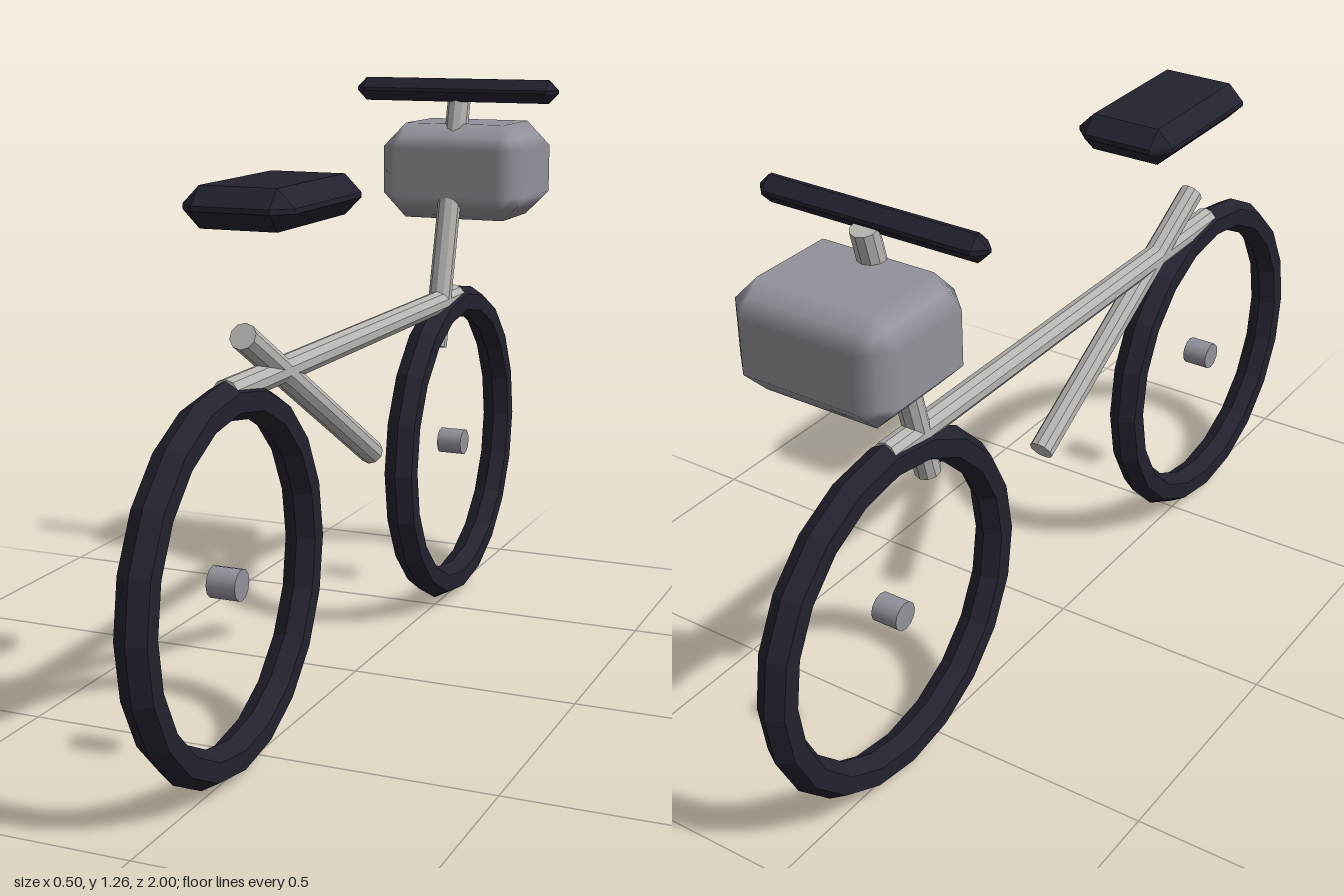
import * as THREE from 'three';

const rubber = new THREE.MeshStandardMaterial({ color: 0x22222e, flatShading: true });
rubber.name = 'dark rubber';
const steel = new THREE.MeshStandardMaterial({ color: 0xb6b5b2, flatShading: true });
steel.name = 'light steel';
const grey = new THREE.MeshStandardMaterial({ color: 0x92929b });
grey.name = 'mid grey';

// Box with flat 45 degree chamfers of width r and softly shaded edges
function chamferBox(w, h, d, r) {
  const geo = new THREE.BoxGeometry(1, 1, 1, 3, 3, 3);
  const pos = geo.attributes.position;
  const nor = geo.attributes.normal;
  const half = [w / 2 - r, h / 2 - r, d / 2 - r];
  for (let i = 0; i < pos.count; i++) {
    const p = [pos.getX(i), pos.getY(i), pos.getZ(i)];
    // outward direction: only the axes on which the vertex lies on the box boundary
    const dir = p.map((c) => (Math.abs(c) > 0.4 ? Math.sign(c) : 0));
    const n = dir.reduce((s, c) => s + Math.abs(c), 0);
    const q = p.map((c, k) => Math.sign(c) * half[k] + (r * dir[k]) / n);
    pos.setXYZ(i, ...q);
    nor.setXYZ(i, ...dir.map((c) => c / Math.sqrt(n)));
  }
  return geo;
}

export function createModel() {
  const bike = new THREE.Group();
  bike.name = 'bicycle';

  const add = (name, geometry, material, x = 0, y = 0, z = 0) => {
    const mesh = new THREE.Mesh(geometry, material);
    mesh.name = name;
    mesh.position.set(x, y, z);
    bike.add(mesh);
    return mesh;
  };

  // Straight tube in the centre plane between two [y, z] points
  const tube = (name, [y0, z0], [y1, z1]) => {
    const a = new THREE.Vector3(0, y0, z0);
    const b = new THREE.Vector3(0, y1, z1);
    const dir = b.clone().sub(a);
    const mesh = add(name, new THREE.CylinderGeometry(0.027, 0.027, dir.length(), 10), steel);
    mesh.position.copy(a).add(b).multiplyScalar(0.5);
    mesh.quaternion.setFromUnitVectors(new THREE.Vector3(0, 1, 0), dir.normalize());
  };

  // Wheels: six-sided tyre and a small hub
  const axleY = 0.387;
  for (const [label, z] of [['front', 0.615], ['rear', -0.615]]) {
    const tyre = new THREE.TorusGeometry(0.347, 0.038, 6, 20).rotateY(Math.PI / 2);
    add(label + 'Tyre', tyre, rubber, 0, axleY, z);
    const hub = new THREE.CylinderGeometry(0.031, 0.031, 0.06, 12).rotateZ(Math.PI / 2);
    add(label + 'Hub', hub, grey, 0, axleY, z);
  }

  // Frame
  tube('topTube', [0.748, 0.613], [0.748, -0.613]);
  tube('seatTube', [0.842, 0.538], [0.479, -0.088]);
  tube('steeringTube', [0.645, -0.485], [1.225, -0.636]);

  // Saddle, handlebar and basket
  add('saddle', chamferBox(0.228, 0.08, 0.38, 0.035), rubber, 0, 1.08, 0.396);
  add('handlebar', chamferBox(0.5, 0.054, 0.054, 0.023), rubber, 0, 1.238, -0.613);
  add('basket', chamferBox(0.36, 0.225, 0.292, 0.057), grey, 0, 1.047, -0.692);

  return bike;
}
